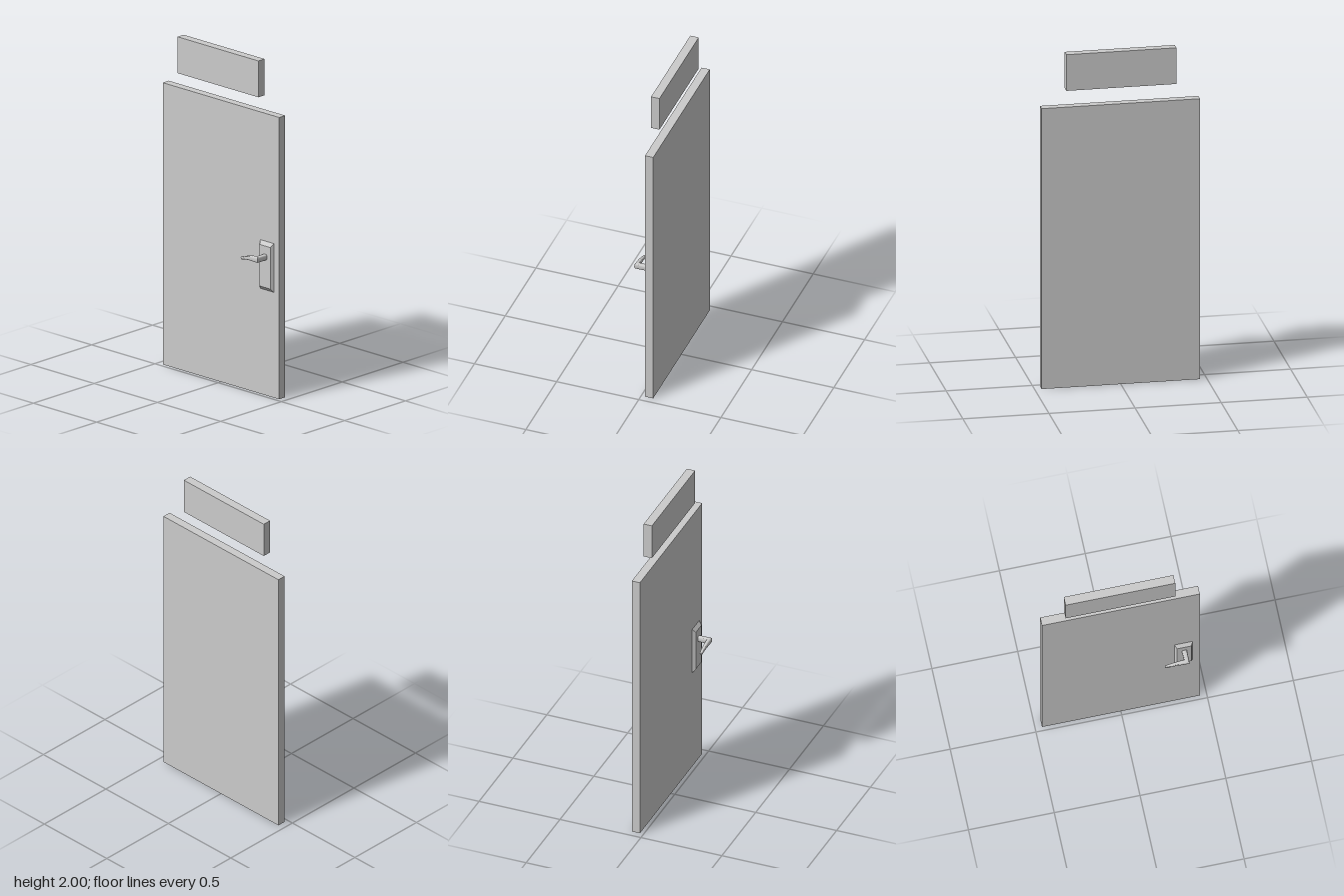
import * as THREE from 'three';
import { toCreasedNormals } from 'three/addons/utils/BufferGeometryUtils.js';

const material = new THREE.MeshStandardMaterial({ color: 0xcccccc });

function addMesh(group, name, geometry) {
  const mesh = new THREE.Mesh(geometry, material);
  mesh.name = name;
  group.add(mesh);
  return mesh;
}

// Box given by its lower and upper corners
function boxBetween([x0, y0, z0], [x1, y1, z1]) {
  return new THREE.BoxGeometry(x1 - x0, y1 - y0, z1 - z0)
    .translate((x0 + x1) / 2, (y0 + y1) / 2, (z0 + z1) / 2);
}

// Backplate: a box whose front face is drawn in to leave sloping sides
function plateGeometry() {
  const geo = boxBetween([0.312, 0.632, -0.023], [0.418, 0.924, -0.005]);
  const pos = geo.attributes.position;
  for (let i = 0; i < pos.count; i++) {
    if (pos.getZ(i) < -0.01) continue;
    pos.setX(i, pos.getX(i) < 0.365 ? 0.323 : 0.407);
    pos.setY(i, pos.getY(i) < 0.78 ? 0.653 : 0.902);
  }
  geo.computeVertexNormals();
  return geo;
}

// Handle: rounded sections swept out of the plate, round a mitre, and along the lever
function handleGeometry() {
  // inner x, inner z, outer x, outer z, bottom y, top y
  const sections = [
    [0.352, -0.008, 0.381, -0.008, 0.819, 0.854],
    [0.352, 0.048, 0.381, 0.072, 0.819, 0.854],
    [0.325, 0.0485, 0.325, 0.0705, 0.820, 0.850],
    [0.295, 0.0495, 0.295, 0.069, 0.819, 0.843],
    [0.268, 0.0505, 0.268, 0.0675, 0.815, 0.835],
    [0.246, 0.0515, 0.246, 0.0665, 0.810, 0.828],
    [0.240, 0.054, 0.240, 0.064, 0.814, 0.826],
  ];
  const sides = 20;
  const round = (v) => Math.sign(v) * Math.abs(v) ** 0.6;
  const points = [], index = [];
  for (const [ax, az, bx, bz, y0, y1] of sections) {
    for (let j = 0; j < sides; j++) {
      const t = (j / sides) * Math.PI * 2;
      const c = (1 + round(Math.cos(t))) / 2, s = (1 + round(Math.sin(t))) / 2;
      points.push(ax + (bx - ax) * c, y0 + (y1 - y0) * s, az + (bz - az) * c);
    }
  }
  const last = (sections.length - 1) * sides;
  for (let k = 0; k < last; k += sides) {
    for (let j = 0; j < sides; j++) {
      const a = k + j, b = k + (j + 1) % sides;
      index.push(a, b, b + sides, a, b + sides, a + sides);
    }
  }
  // Tip cap
  for (let j = 1; j < sides - 1; j++) index.push(last, last + j, last + j + 1);
  const geo = new THREE.BufferGeometry();
  geo.setAttribute('position', new THREE.Float32BufferAttribute(points, 3));
  geo.setIndex(index);
  return toCreasedNormals(geo, 0.6);
}

export function createModel() {
  const model = new THREE.Group();
  model.name = 'door';
  addMesh(model, 'doorPanel', boxBetween([-0.46, 0, -0.073], [0.46, 1.69, -0.023]));
  addMesh(model, 'signBoard', boxBetween([-0.326, 1.782, -0.056], [0.313, 2, -0.005]));

  const handle = new THREE.Group();
  handle.name = 'handle';
  addMesh(handle, 'backplate', plateGeometry());
  addMesh(handle, 'lever', handleGeometry());
  model.add(handle);
  return model;
}
